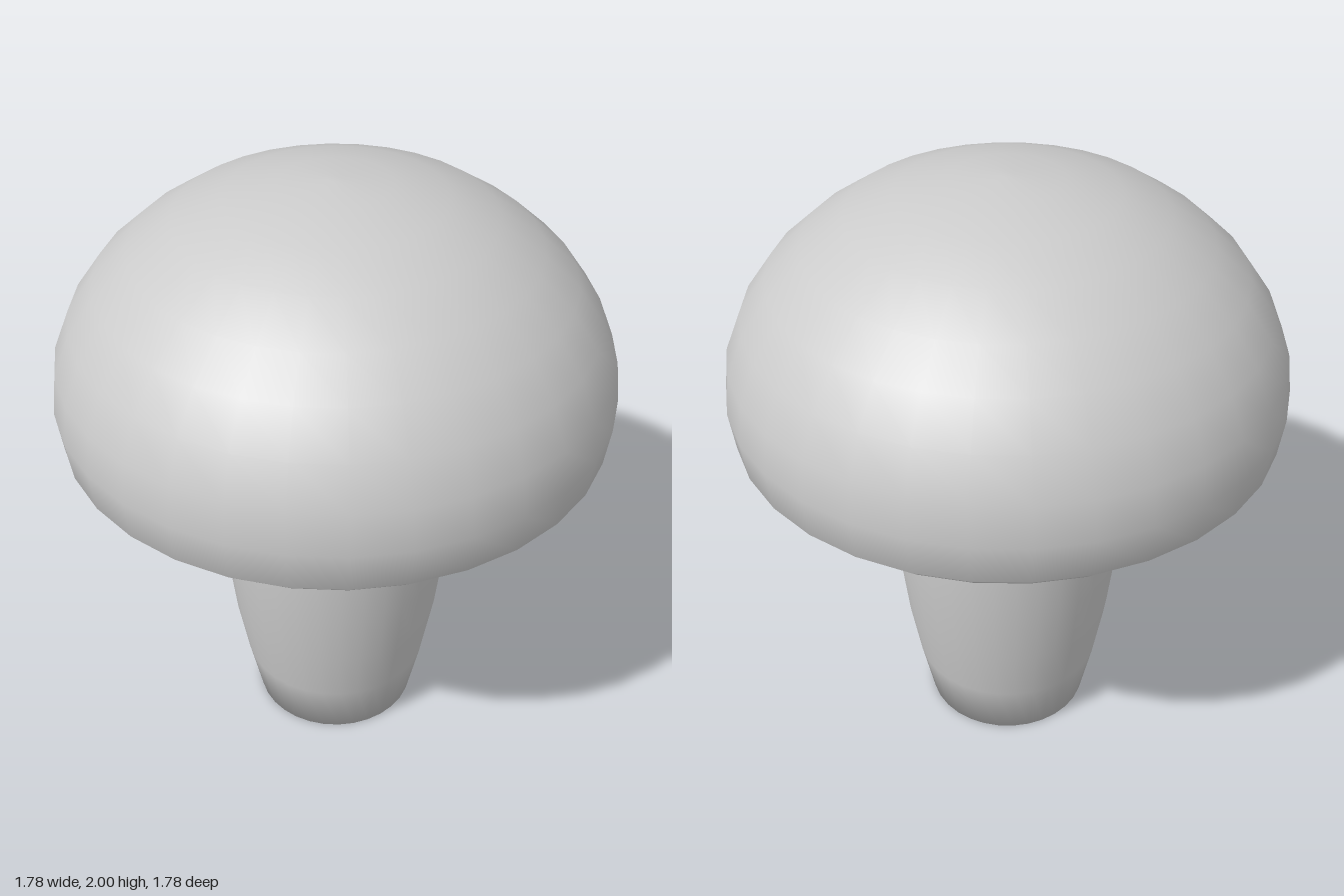
import * as THREE from 'three';

const SEGMENTS = 32;

// Smooth solid of revolution from [radius, height] pairs, bottom/inside first
function turned(name, profile) {
  const points = profile.map(([r, y]) => new THREE.Vector2(r, y));
  const mesh = new THREE.Mesh(
    new THREE.LatheGeometry(points, SEGMENTS),
    new THREE.MeshStandardMaterial({ color: 0xcccccc })
  );
  mesh.name = name;
  return mesh;
}

export function createModel() {
  const mushroom = new THREE.Group();
  mushroom.name = 'mushroom';

  // Barrel-shaped stem with a flat foot, its narrowing top tucked into the cap
  mushroom.add(turned('stem', [
    [0, 0], [0.275, 0], [0.318, 0.2], [0.353, 0.4], [0.376, 0.6], [0.389, 0.78],
    [0.39, 0.95], [0.379, 1.14], [0.36, 1.3], [0.33, 1.46], [0, 1.6],
  ]));

  // Cap: shallow hollow underside, rounded rim, then the outer dome
  mushroom.add(turned('cap', [
    [0, 1.49], [0.2, 1.475], [0.35, 1.435], [0.48, 1.375], [0.6, 1.295], [0.7, 1.21],
    [0.765, 1.16], [0.82, 1.14], [0.873, 1.19], [0.89, 1.32], [0.873, 1.45],
    [0.82, 1.58], [0.735, 1.7], [0.625, 1.8], [0.49, 1.89], [0.34, 1.95],
    [0.173, 1.99], [0.02, 2], [0, 2],
  ]));

  return mushroom;
}
